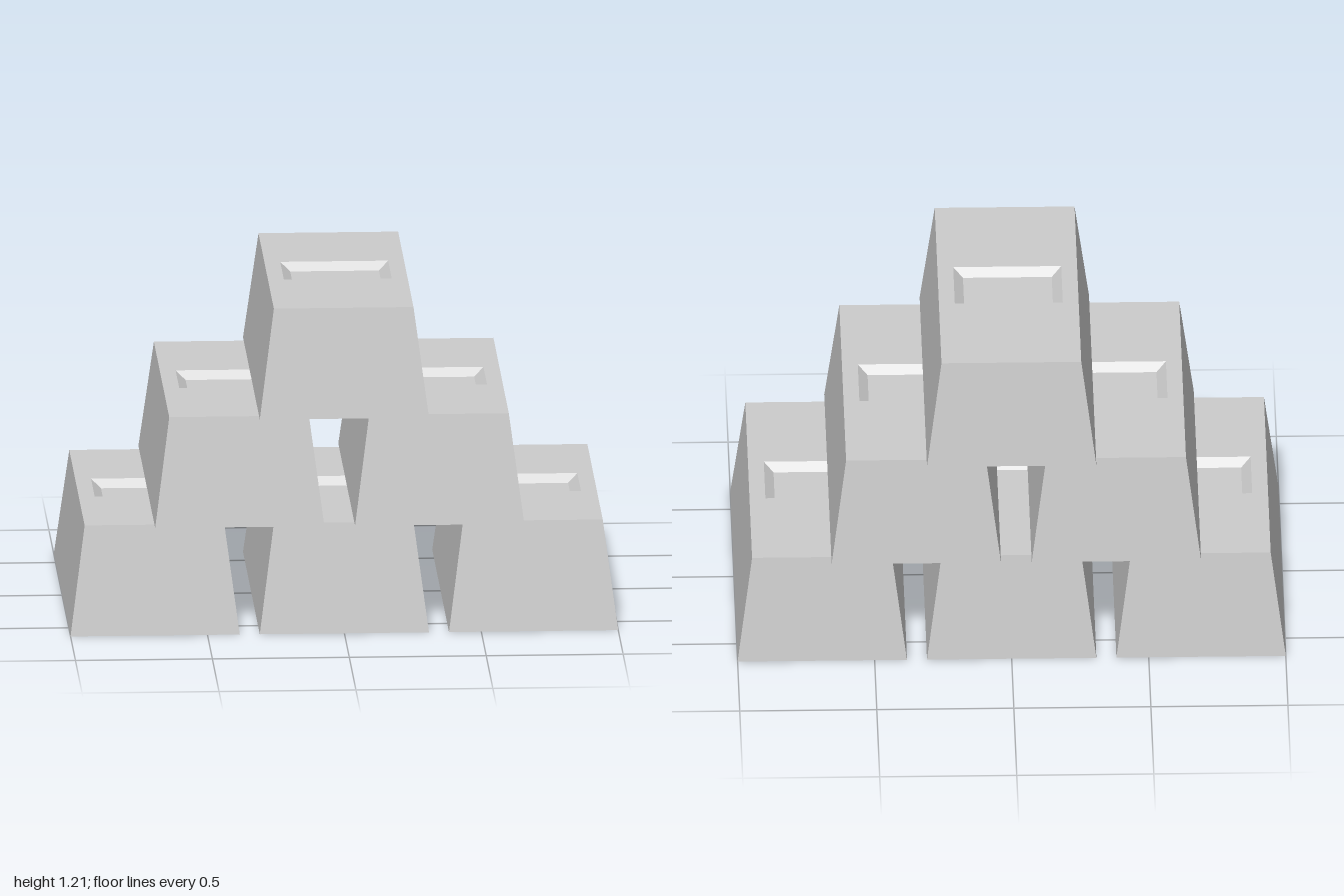
import * as THREE from 'three';

const HEIGHT = 0.403;

// Rectangular cross-sections from the base up and into the recess: [half x, y, half z]
const SECTIONS = [
  [0.309, 0, 0.632],
  [0.255, HEIGHT, 0.578],
  [0.197, HEIGHT, 0.136],
  [0.162, HEIGHT - 0.03, 0.109],
];

// Tapered ingot with a shallow bevelled recess in its top face
function ingotGeometry() {
  const rings = SECTIONS.map(([x, y, z]) => [[-x, y, z], [x, y, z], [x, y, -z], [-x, y, -z]]);
  const positions = [];
  const quad = (a, b, c, d) => positions.push(...a, ...b, ...c, ...a, ...c, ...d);
  for (let r = 0; r < rings.length - 1; r++) {
    const lower = rings[r], upper = rings[r + 1];
    for (let i = 0; i < 4; i++) {
      const j = (i + 1) % 4;
      quad(lower[i], lower[j], upper[j], upper[i]);
    }
  }
  quad(...rings[rings.length - 1]); // recess floor
  quad(...[...rings[0]].reverse()); // underside
  const geometry = new THREE.BufferGeometry();
  geometry.setAttribute('position', new THREE.Float32BufferAttribute(positions, 3));
  geometry.computeVertexNormals();
  return geometry;
}

export function createModel() {
  const model = new THREE.Group();
  model.name = 'ingotStack';
  const geometry = ingotGeometry();
  const material = new THREE.MeshStandardMaterial({ color: 0xcccccc, flatShading: true });

  // Pyramid of three, two and one ingots
  const rows = [
    { name: 'bottomIngot', centres: [-0.691, 0, 0.691] },
    { name: 'middleIngot', centres: [-0.382, 0.348] },
    { name: 'topIngot', centres: [0] },
  ];
  rows.forEach(({ name, centres }, level) => {
    centres.forEach((x, i) => {
      const ingot = new THREE.Mesh(geometry, material);
      ingot.name = `${name}${i + 1}`;
      ingot.position.set(x, level * HEIGHT, 0);
      model.add(ingot);
    });
  });
  return model;
}
